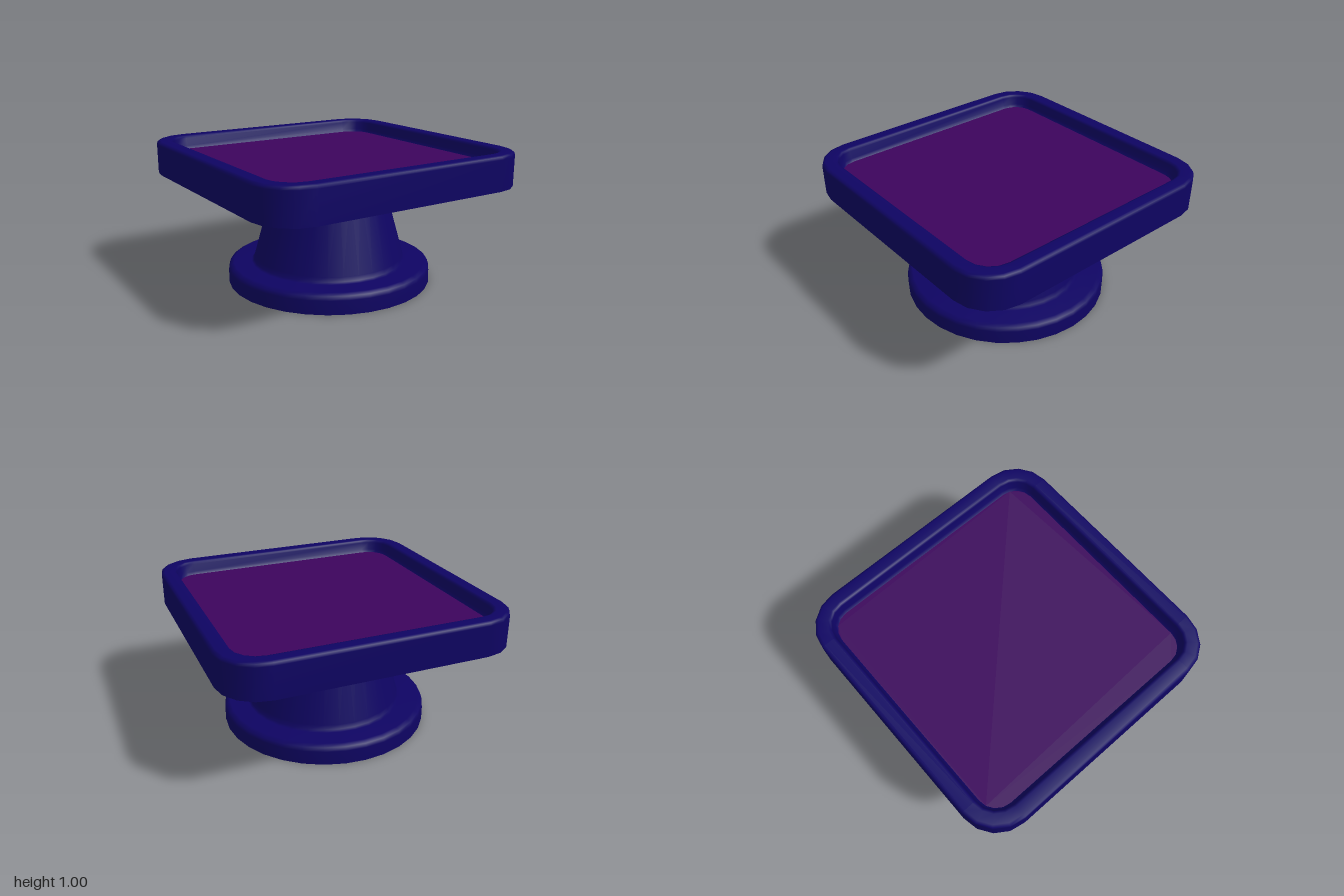
import * as THREE from 'three';

const navy = new THREE.MeshStandardMaterial({ color: 0x0e0462 });
const purple = new THREE.MeshStandardMaterial({ color: 0x3c045c });

// Circle of radius r, counterclockwise from above
function circle(r, y, sides = 32) {
  return Array.from({ length: sides }, (_, i) => {
    const t = (i / sides) * Math.PI * 2;
    return [r * Math.cos(t), y, -r * Math.sin(t)];
  });
}

// Square of half width h with rounded corners centred on a fixed inner square
function roundedSquare(h, y, inner = 0.72, steps = 4) {
  const points = [];
  for (let corner = 0; corner < 4; corner++) {
    const mid = Math.PI / 4 + (corner * Math.PI) / 2;
    const cx = inner * Math.sign(Math.cos(mid));
    const cz = -inner * Math.sign(Math.sin(mid));
    for (let i = 0; i <= steps; i++) {
      const t = ((corner + i / steps) * Math.PI) / 2;
      points.push([cx + (h - inner) * Math.cos(t), y, cz - (h - inner) * Math.sin(t)]);
    }
  }
  return points;
}

// Skin a stack of loops with smooth normals and close the bottom;
// the bottom face shares the normals of the wall, for a soft lower edge
function loft(loops) {
  const n = loops[0].length;
  const wall = [], bottom = [];
  for (let i = 0; i < loops.length - 1; i++) {
    for (let j = 0; j < n; j++) {
      const k = (j + 1) % n;
      const a = i * n + j, b = i * n + k;
      wall.push(a, b, b + n, a, b + n, a + n);
    }
  }
  for (let j = 1; j < n - 1; j++) bottom.push(0, j + 1, j);
  const geometry = new THREE.BufferGeometry();
  geometry.setAttribute('position', new THREE.Float32BufferAttribute(loops.flat(2), 3));
  geometry.setIndex(wall);
  geometry.computeVertexNormals();
  geometry.setIndex([...wall, ...bottom]);
  return geometry;
}

function part(name, geometry, material) {
  const mesh = new THREE.Mesh(geometry, material);
  mesh.name = name;
  return mesh;
}

export function createModel() {
  const group = new THREE.Group();
  group.name = 'pedestalTable';

  // Pedestal: round foot with a softened edge, flaring into a tapered column
  const pedestal = [
    [0.744, 0], [0.744, 0.1], [0.735, 0.128], [0.705, 0.143], [0.575, 0.145],
    [0.557, 0.157], [0.548, 0.19], [0.39, 0.757],
  ];
  group.add(part('pedestal', loft(pedestal.map(([r, y]) => circle(r, y))), navy));

  // Square tray: outer wall, rounded rim and recessed inner wall
  const tray = [
    [1, 0.757], [1, 0.975], [0.993, 0.993], [0.975, 1], [0.91, 1],
    [0.895, 0.995], [0.887, 0.98], [0.878, 0.925], [0.862, 0.905],
  ];
  group.add(part('tray', loft(tray.map(([h, y]) => roundedSquare(h, y))), navy));

  // Flat inset panel
  const outline = roundedSquare(0.862, 0).map(([x, , z]) => new THREE.Vector2(x, -z));
  const panel = part('panel', new THREE.ShapeGeometry(new THREE.Shape(outline)), purple);
  panel.rotation.x = -Math.PI / 2;
  panel.position.y = 0.905;
  group.add(panel);

  return group;
}
